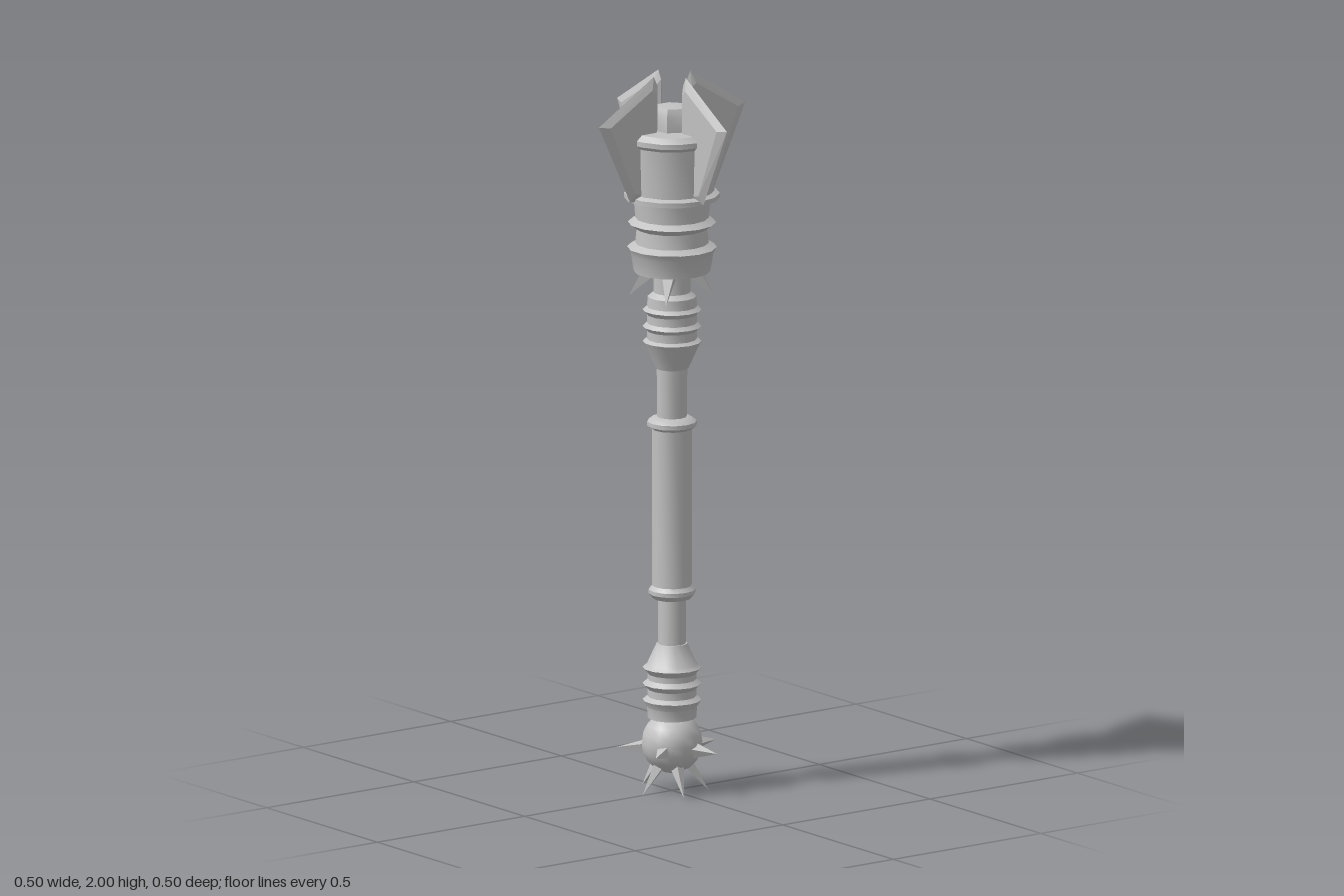
import * as THREE from 'three';
import { toCreasedNormals } from 'three/addons/utils/BufferGeometryUtils.js';
import { ConvexGeometry } from 'three/addons/geometries/ConvexGeometry.js';

export function createModel() {
  const model = new THREE.Group();
  model.name = 'mace';
  const steel = new THREE.MeshStandardMaterial({ color: 0xc2c2c2 });
  steel.name = 'steel';

  function add(name, geometry, parent = model) {
    const mesh = new THREE.Mesh(geometry, steel);
    mesh.name = name;
    parent.add(mesh);
    return mesh;
  }

  // Turned part from [radius, height] pairs, listed bottom to top
  function turned(name, profile, sides = 14) {
    const points = profile.map(([r, y]) => new THREE.Vector2(r, y));
    return add(name, toCreasedNormals(new THREE.LatheGeometry(points, sides), 0.6));
  }

  // Four-sided spike running from base to tip
  function spike(name, base, tip, radius) {
    const dir = tip.clone().sub(base);
    const geometry = new THREE.ConeGeometry(radius, dir.length(), 4, 1).toNonIndexed();
    geometry.computeVertexNormals();
    const mesh = add(name, geometry);
    mesh.position.copy(base).add(tip).multiplyScalar(0.5);
    mesh.quaternion.setFromUnitVectors(new THREE.Vector3(0, 1, 0), dir.normalize());
  }
  const polar = (r, angle, y) =>
    new THREE.Vector3(r * Math.cos(angle), y, r * Math.sin(angle));

  // Spiked pommel ball
  add('pommelBall', new THREE.SphereGeometry(0.084, 14, 10)).position.y = 0.135;
  for (let i = 0; i < 5; i++) {
    const a = (i * Math.PI * 2) / 5;
    spike('pommelSideSpike', polar(0.06, a, 0.122), polar(0.15, a, 0.122), 0.026);
    spike('pommelLowerSpike', polar(0.03, a + Math.PI, 0.095), polar(0.1, a + Math.PI, 0), 0.024);
  }

  // Ridged collar above the ball
  turned('pommelCollar', [
    [0, 0.205], [0.066, 0.205], [0.068, 0.235], [0.08, 0.255], [0.066, 0.265],
    [0.066, 0.285], [0.08, 0.3], [0.066, 0.312], [0.066, 0.328], [0.08, 0.345],
    [0.068, 0.355], [0.042, 0.412], [0, 0.412],
  ]);

  // Shaft and grip
  turned('shaft', [[0.038, 0.4], [0.038, 0.8], [0.042, 1.19]], 12);
  turned('grip', [[0.054, 0.55], [0.054, 1.03]], 12);
  turned('gripLowerRing', [
    [0.038, 0.535], [0.052, 0.538], [0.064, 0.552], [0.064, 0.563], [0.053, 0.575],
  ], 12);
  turned('gripUpperRing', [
    [0.053, 1.01], [0.068, 1.02], [0.068, 1.032], [0.055, 1.042], [0.04, 1.045],
  ], 12);

  // Ridged flare under the head
  turned('upperCollar', [
    [0, 1.18], [0.045, 1.18], [0.072, 1.24], [0.08, 1.255], [0.068, 1.262],
    [0.068, 1.285], [0.08, 1.297], [0.068, 1.307], [0.068, 1.33], [0.08, 1.343],
    [0.068, 1.352], [0.066, 1.38], [0.05, 1.392], [0.05, 1.46],
  ]);

  // Stepped head base with sharp rings
  turned('headBase', [
    [0, 1.45], [0.104, 1.45], [0.112, 1.5], [0.122, 1.518], [0.1, 1.53],
    [0.096, 1.57], [0.12, 1.587], [0.1, 1.6], [0.104, 1.652],
  ]);

  // Drum with lower and upper lips
  turned('headDrum', [
    [0.1, 1.648], [0.13, 1.655], [0.13, 1.668], [0.115, 1.675], [0.119, 1.808],
    [0.13, 1.818], [0.13, 1.832], [0.113, 1.846], [0, 1.846],
  ]);
  turned('topKnob', [
    [0.054, 1.84], [0.054, 1.89], [0.045, 1.91], [0, 1.915],
  ], 7);

  // Four short spikes slanting out below the head
  for (let i = 0; i < 4; i++) {
    const a = Math.PI / 4 + (i * Math.PI) / 2;
    spike('headSpike', polar(0.06, a, 1.452), polar(0.118, a, 1.378), 0.026);
  }

  // Four bevelled flanges: sharp outline with a raised inset on both faces
  const outline = [[0.248, 1.885], [0.062, 2], [0.05, 1.975], [0.05, 1.85], [0.11, 1.66], [0.142, 1.66]];
  const inset = [[0.216, 1.88], [0.074, 1.966], [0.06, 1.955], [0.06, 1.85], [0.112, 1.68], [0.134, 1.685]];
  const points = outline.map(([x, y]) => new THREE.Vector3(x, y, 0));
  for (const [x, y] of inset) {
    points.push(new THREE.Vector3(x, y, 0.011), new THREE.Vector3(x, y, -0.011));
  }
  const flange = new ConvexGeometry(points);
  for (let i = 0; i < 4; i++) {
    add('flange', flange).rotation.y = (i * Math.PI) / 2;
  }

  return model;
}
